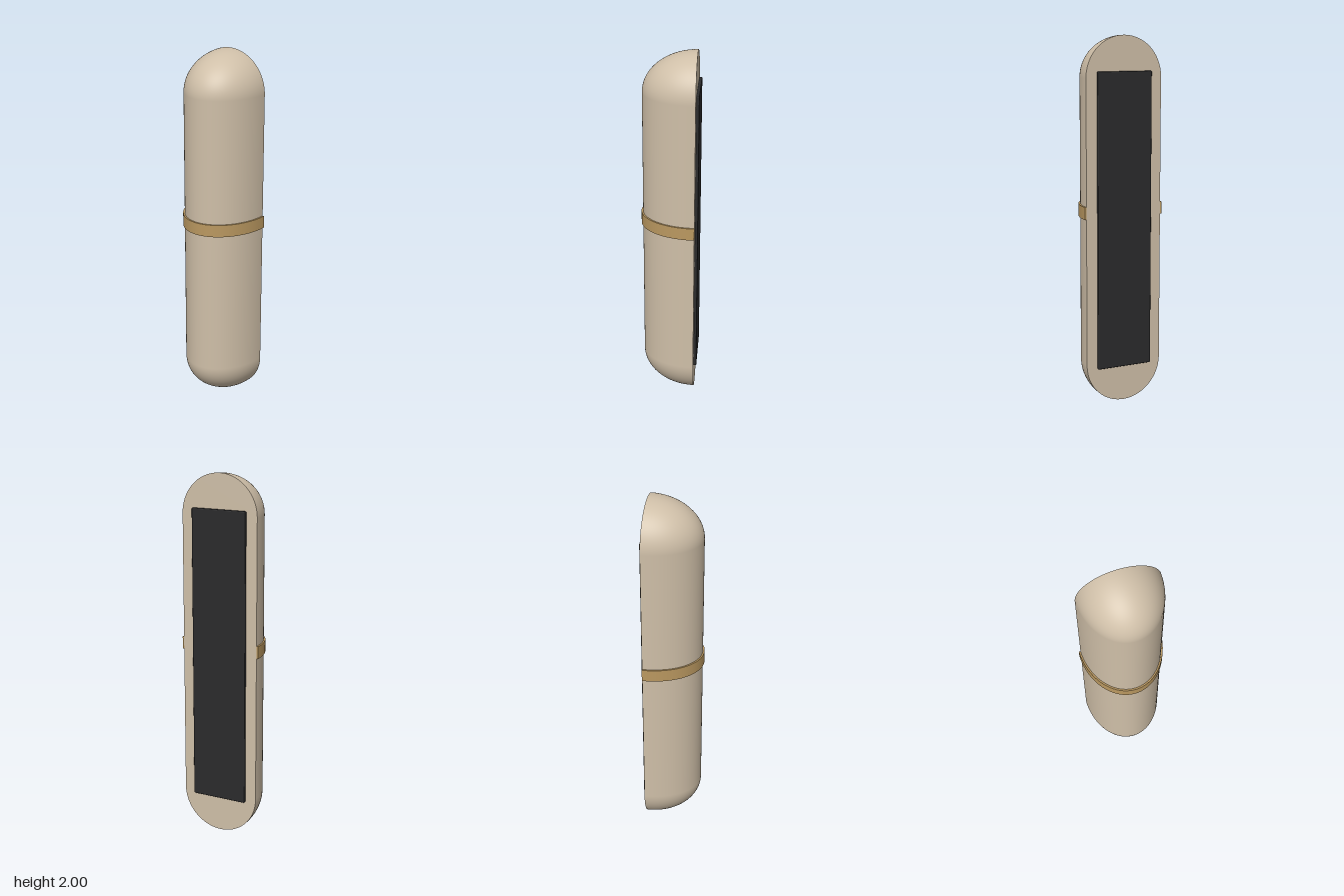
import * as THREE from 'three';
import { RoundedBoxGeometry } from 'three/addons/geometries/RoundedBoxGeometry.js';

const R = 0.222, HEIGHT = 2, BACK = -0.144, DEPTH = 0.292;
const BAND_R = 0.231, BAND_DEPTH = 0.301, BAND_LOW = 1.03, BAND_HIGH = 1.098;

const material = (name, color) => {
  const m = new THREE.MeshStandardMaterial({ color });
  m.name = name;
  return m;
};

// Half turn of a profile, stretched front to back and set on the back plane
function halfTurn(points, radius, depth) {
  const g = new THREE.LatheGeometry(points, 64, -Math.PI / 2, Math.PI);
  g.scale(1, 1, depth / radius);
  g.translate(0, 0, BACK);
  return g;
}

export function createModel() {
  const group = new THREE.Group();
  const shellColor = material('warm beige', 0xcfbfa8);
  const goldColor = material('brushed gold', 0xba9860);
  const padColor = material('charcoal', 0x2b2b2c);

  const add = (name, geometry, mat) => {
    const mesh = new THREE.Mesh(geometry, mat);
    mesh.name = name;
    group.add(mesh);
    return mesh;
  };

  // Rounded front shell: quarter arcs at both ends of a straight side
  const profile = [];
  const steps = 24;
  for (const [centre, start] of [[R, -Math.PI / 2], [HEIGHT - R, 0]]) {
    for (let i = 0; i <= steps; i++) {
      const a = start + (i / steps) * Math.PI / 2;
      profile.push(new THREE.Vector2(Math.max(0, R * Math.cos(a)), centre + R * Math.sin(a)));
    }
  }
  add('frontShell', halfTurn(profile, R, DEPTH), shellColor);

  // Flat stadium-shaped back
  const outline = new THREE.Shape();
  outline.absarc(0, HEIGHT - R, R, 0, Math.PI);
  outline.absarc(0, R, R, Math.PI, Math.PI * 2);
  const back = new THREE.ShapeGeometry(outline, 48);
  back.rotateY(Math.PI);
  back.translate(0, 0, BACK);
  add('backPlate', back, shellColor);

  // Band around the front; doubled corners keep its edges sharp
  const inner = R - 0.002;
  const bandProfile = [
    [inner, BAND_LOW], [BAND_R, BAND_LOW], [BAND_R, BAND_LOW],
    [BAND_R, BAND_HIGH], [BAND_R, BAND_HIGH], [inner, BAND_HIGH],
  ].map(([x, y]) => new THREE.Vector2(x, y));
  add('band', halfTurn(bandProfile, BAND_R, BAND_DEPTH), goldColor);

  // Small faces closing the band ends at the back
  for (const side of [-1, 1]) {
    const end = new THREE.PlaneGeometry(BAND_R - R, BAND_HIGH - BAND_LOW);
    end.rotateY(Math.PI);
    end.translate(side * (R + BAND_R) / 2, (BAND_LOW + BAND_HIGH) / 2, BACK);
    add(side > 0 ? 'leftBandEnd' : 'rightBandEnd', end, goldColor);
  }

  // Dark pad on the back, with softened edges
  const pad = add('backPad', new RoundedBoxGeometry(0.318, 1.615, 0.03, 3, 0.005), padColor);
  pad.position.set(0, 1.003, -0.145);

  return group;
}
